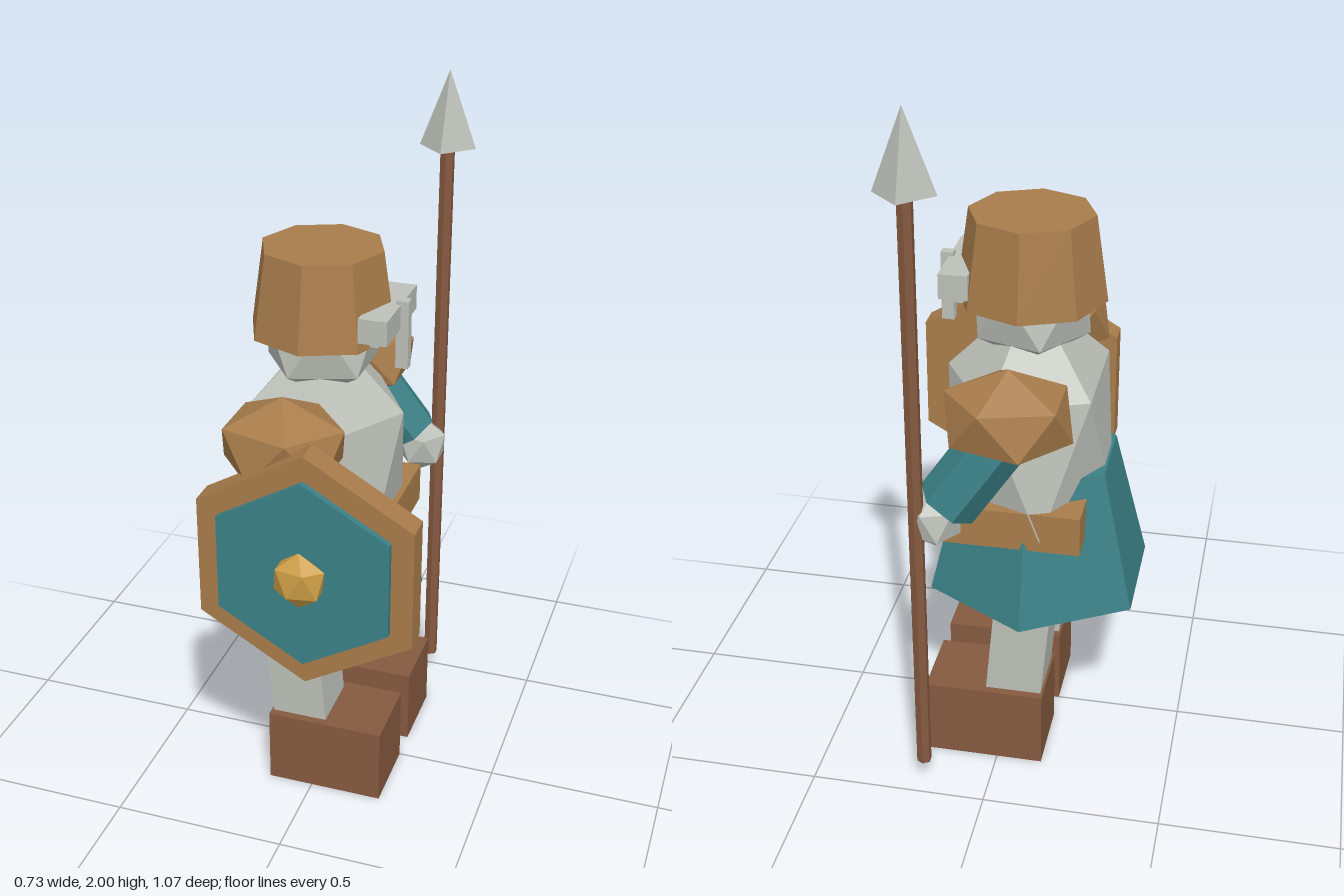
import * as THREE from 'three';

const mat = (name, color) => {
  const m = new THREE.MeshStandardMaterial({ color, flatShading: true });
  m.name = name;
  return m;
};

export function createModel() {
  const steel = mat('steel', 0xbcc0b8);
  const bronze = mat('bronze', 0xa87c4b);
  const cloth = mat('tealCloth', 0x3a8085);
  const leather = mat('brownLeather', 0x85593f);
  const gold = mat('gold', 0xcb9c45);

  const model = new THREE.Group();
  model.name = 'spearGuard';

  const add = (name, geometry, material, x, y, z) => {
    const mesh = new THREE.Mesh(geometry, material);
    mesh.name = name;
    mesh.position.set(x, y, z);
    model.add(mesh);
    return mesh;
  };
  const box = (name, material, w, h, d, x, y, z) =>
    add(name, new THREE.BoxGeometry(w, h, d), material, x, y, z);

  // Faceted ball standing on one corner, stretched per axis
  const gem = (name, material, rx, ry, rz, x, y, z) => {
    const g = new THREE.IcosahedronGeometry(1, 0);
    g.rotateZ(-Math.atan(2 / (1 + Math.sqrt(5))));
    g.scale(rx, ry, rz);
    return add(name, g, material, x, y, z);
  };

  const midZ = -0.043; // centre line of the body, which faces +x

  // Body
  gem('torso', steel, 0.263, 0.43, 0.315, -0.05, 0.953, midZ);
  gem('head', steel, 0.18, 0.18, 0.18, -0.05, 1.355, midZ);
  add('skirt', new THREE.CylinderGeometry(0.228, 0.333, 0.4, 6), cloth, -0.078, 0.705, midZ);
  box('belt', bronze, 0.4, 0.115, 0.534, -0.033, 0.788, midZ);

  // Helmet with face guard
  add('helmet', new THREE.CylinderGeometry(0.172, 0.207, 0.24, 8), bronze, -0.049, 1.49, midZ);
  box('browGuard', steel, 0.08, 0.07, 0.284, 0.135, 1.435, midZ);
  box('noseGuard', steel, 0.035, 0.195, 0.03, 0.18, 1.383, midZ);

  for (const side of [1, -1]) {
    const at = (offset) => midZ + side * offset;
    box('eye', steel, 0.04, 0.03, 0.06, 0.12, 1.39, at(0.07));

    // Legs lean back a little above the boots
    box('leg', steel, 0.16, 0.5, 0.174, -0.057, 0.37, at(0.154)).rotation.z = 0.09;
    box('boot', leather, 0.341, 0.23, 0.221, 0.039, 0.115, at(0.154));

    // Arms reach forward from the shoulder
    gem('shoulderGuard', bronze, 0.19, 0.135, 0.162, -0.05, 1.17, at(0.325));
    const shoulder = new THREE.Vector3(-0.05, 1.14, at(0.32));
    const wrist = new THREE.Vector3(0.11, 0.91, at(0.355));
    const reach = wrist.clone().sub(shoulder);
    const mid = shoulder.clone().add(wrist).multiplyScalar(0.5);
    const arm = add('arm', new THREE.CylinderGeometry(0.085, 0.085, reach.length(), 6),
      cloth, mid.x, mid.y, mid.z);
    arm.quaternion.setFromUnitVectors(new THREE.Vector3(0, 1, 0), reach.normalize());
    gem('hand', steel, 0.08, 0.086, 0.08, 0.143, 0.868, at(0.365));
  }

  // Hexagonal shield carried on the left arm
  const hexPlate = (name, material, radius, depth, z) => {
    const g = new THREE.CylinderGeometry(radius, radius, depth, 6);
    g.rotateX(Math.PI / 2);
    return add(name, g, material, 0.066, 0.893, z);
  };
  hexPlate('shieldRim', bronze, 0.341, 0.075, 0.418);
  hexPlate('shieldFace', cloth, 0.272, 0.04, 0.454);
  gem('shieldBoss', gold, 0.078, 0.082, 0.046, 0.066, 0.895, 0.495);

  // Spear held upright in the right hand
  add('spearShaft', new THREE.CylinderGeometry(0.021, 0.021, 1.71, 6), leather, 0.181, 0.935, -0.453);
  add('spearTip', new THREE.ConeGeometry(0.081, 0.215, 4), steel, 0.181, 1.8925, -0.453);

  return model;
}
